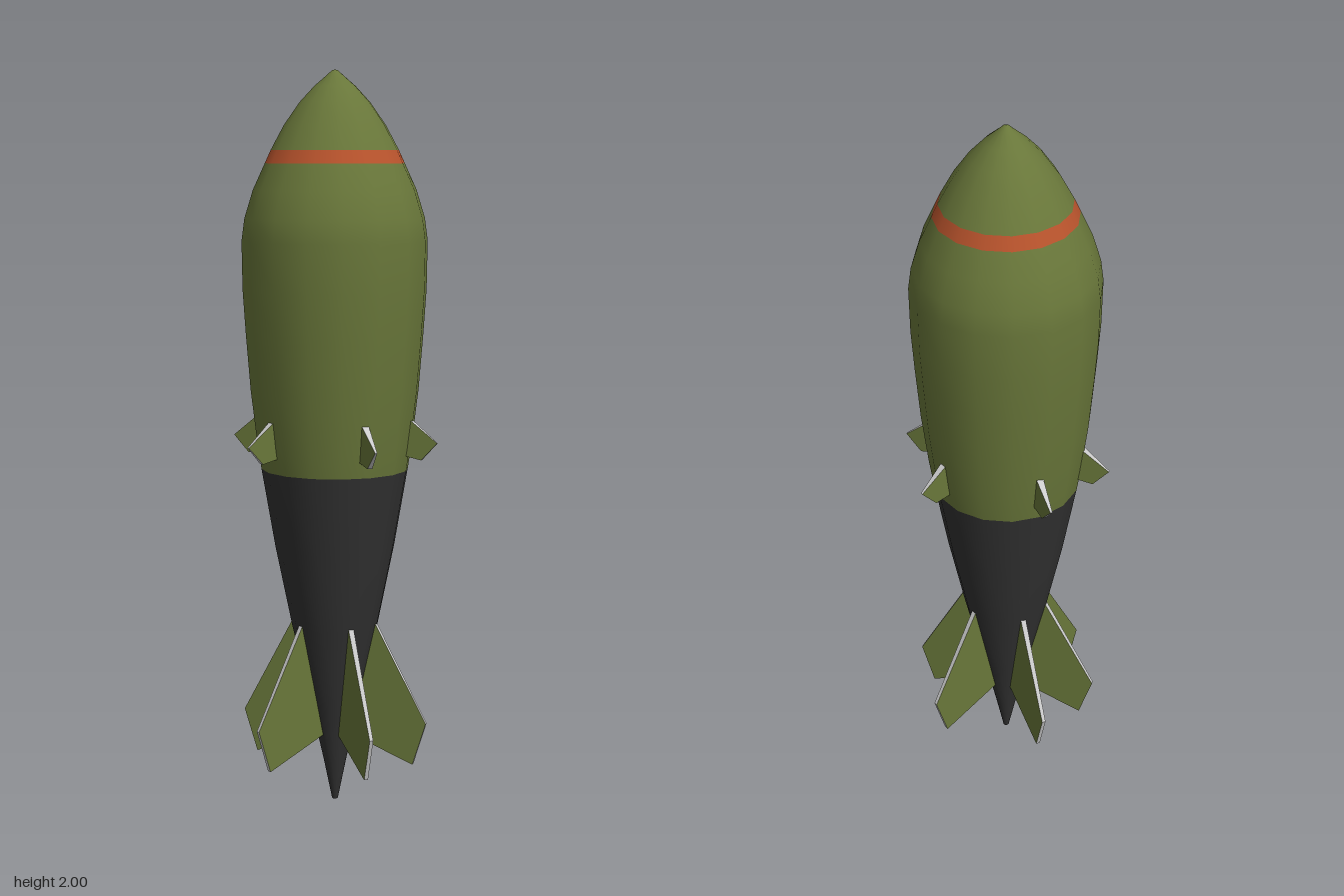
import * as THREE from 'three';

const paint = (color) => new THREE.MeshStandardMaterial({ color, roughness: 0.8 });
const green = paint(0x69773a);
const dark = paint(0x323232);
const red = paint(0xb8532c);
const grey = paint(0xcccccc);

// Sixteen-sided shell turned from [radius, height] pairs, bottom to top
function shell(name, profile, material) {
  const points = profile.map(([r, y]) => new THREE.Vector2(r, y));
  const mesh = new THREE.Mesh(new THREE.LatheGeometry(points, 16), material);
  mesh.name = name;
  return mesh;
}

// Flat fin in the radial plane that thins towards its outer edge
function finGeometry(outline, rootHalf, tipHalf) {
  const shape = new THREE.Shape(outline.map(([r, y]) => new THREE.Vector2(r, y)));
  const geometry = new THREE.ExtrudeGeometry(shape, { depth: 2, bevelEnabled: false });
  const radii = outline.map((p) => p[0]);
  const inner = Math.min(...radii);
  const outer = Math.max(...radii);
  const pos = geometry.attributes.position;
  for (let i = 0; i < pos.count; i++) {
    const t = (pos.getX(i) - inner) / (outer - inner);
    pos.setZ(i, (pos.getZ(i) - 1) * THREE.MathUtils.lerp(rootHalf, tipHalf, t));
  }
  geometry.computeVertexNormals();
  return geometry;
}

export function createModel() {
  const model = new THREE.Group();
  model.name = 'bomb';

  // Body, from the pointed tail to the nose
  model.add(
    shell('tailCone', [
      [0, 0], [0.008, 0.003], [0.03, 0.11], [0.068, 0.28],
      [0.118, 0.5], [0.163, 0.72], [0.2, 0.935],
    ], dark),
    shell('body', [
      [0.2, 0.935], [0.21, 1.0], [0.228, 1.15], [0.24, 1.3], [0.248, 1.42],
      [0.25, 1.55], [0.242, 1.61], [0.219, 1.685], [0.187, 1.755],
    ], green),
    shell('warningBand', [[0.187, 1.755], [0.171, 1.79]], red),
    shell('nose', [
      [0.171, 1.79], [0.136, 1.855], [0.094, 1.915],
      [0.055, 1.957], [0.02, 1.987], [0.008, 1.998], [0, 2],
    ], green),
  );

  // Six large tail fins and six small guide fins, green with bare edges
  const tailFin = finGeometry(
    [[0.03, 0.2], [0.06, 0.19], [0.225, 0.122], [0.262, 0.24], [0.118, 0.51], [0.09, 0.5]],
    0.009, 0.005);
  const guideFin = finGeometry(
    [[0.17, 0.985], [0.245, 0.968], [0.288, 1.015], [0.215, 1.075], [0.17, 1.075]],
    0.014, 0.003);
  [-1, 57, 132, 181, 235, 309].forEach((degrees, i) => {
    const pair = new THREE.Group();
    pair.name = `finPair${i + 1}`;
    pair.rotation.y = THREE.MathUtils.degToRad(degrees);
    for (const [name, geometry] of [['tailFin', tailFin], ['guideFin', guideFin]]) {
      const fin = new THREE.Mesh(geometry, [green, grey]);
      fin.name = name;
      pair.add(fin);
    }
    model.add(pair);
  });

  return model;
}
